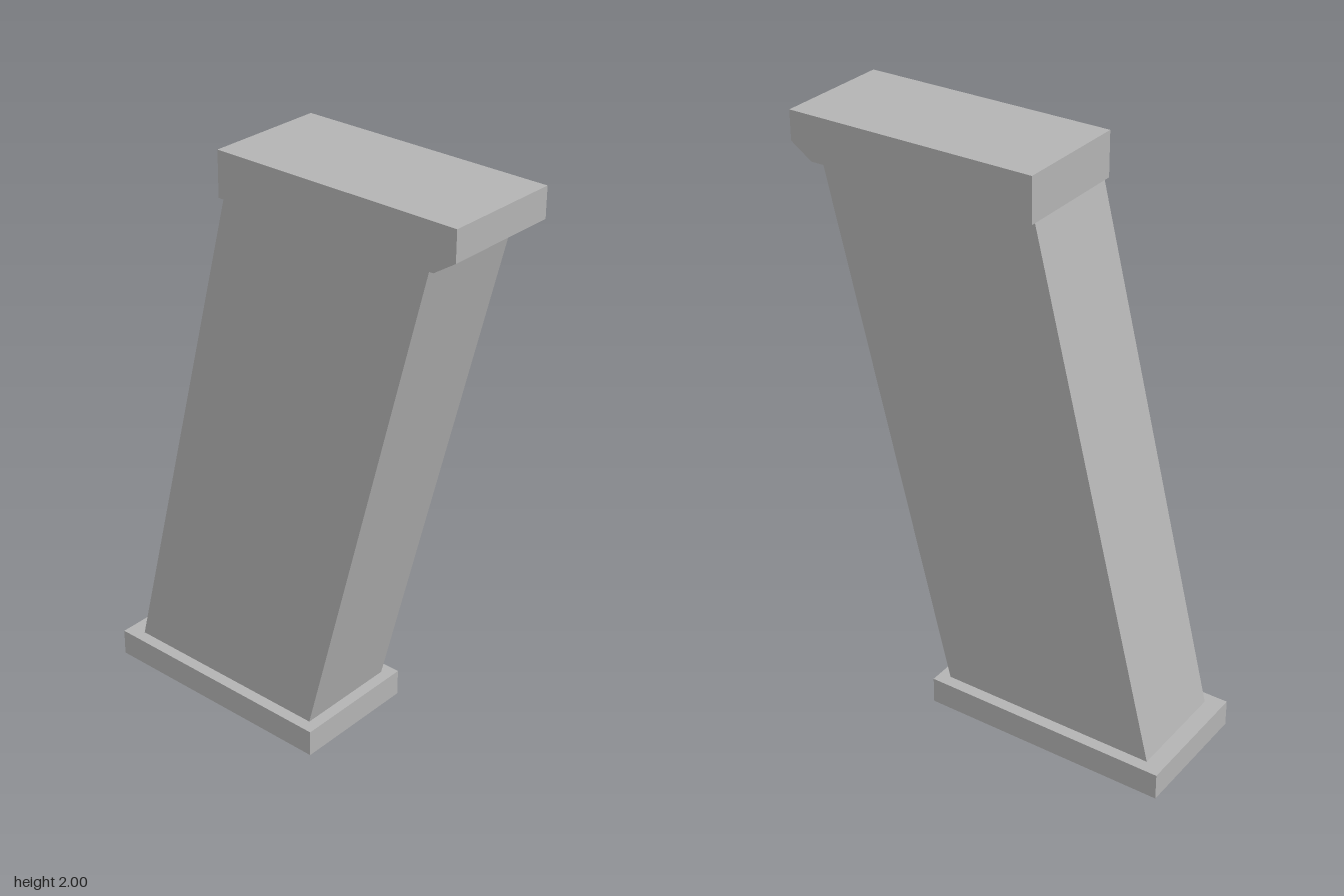
import * as THREE from 'three';

const stone = new THREE.MeshStandardMaterial({ color: 0xb3b3b3 });
stone.name = 'grey stone';

// Side profile given as [z, y] points, extruded evenly across x
function slab(name, halfWidth, profile) {
  const shape = new THREE.Shape(profile.map(([z, y]) => new THREE.Vector2(z, y)));
  const geometry = new THREE.ExtrudeGeometry(shape, { depth: halfWidth * 2, bevelEnabled: false });
  geometry.translate(0, 0, -halfWidth);
  geometry.rotateY(-Math.PI / 2);
  const mesh = new THREE.Mesh(geometry, stone);
  mesh.name = name;
  return mesh;
}

export function createModel() {
  const group = new THREE.Group();
  group.name = 'leaningPillar';

  // Flat foot
  group.add(slab('base', 0.225, [[-0.685, 0], [0.185, 0], [0.185, 0.093], [-0.685, 0.093]]));

  // Slanted shaft leaning forward
  group.add(slab('shaft', 0.184, [[-0.625, 0.093], [0.145, 0.093], [0.585, 1.85], [-0.187, 1.85]]));

  // Cap with a chamfered lower front edge
  group.add(slab('cap', 0.204, [[-0.19, 1.85], [0.612, 1.85], [0.687, 1.9], [0.687, 2], [-0.19, 2]]));

  return group;
}
